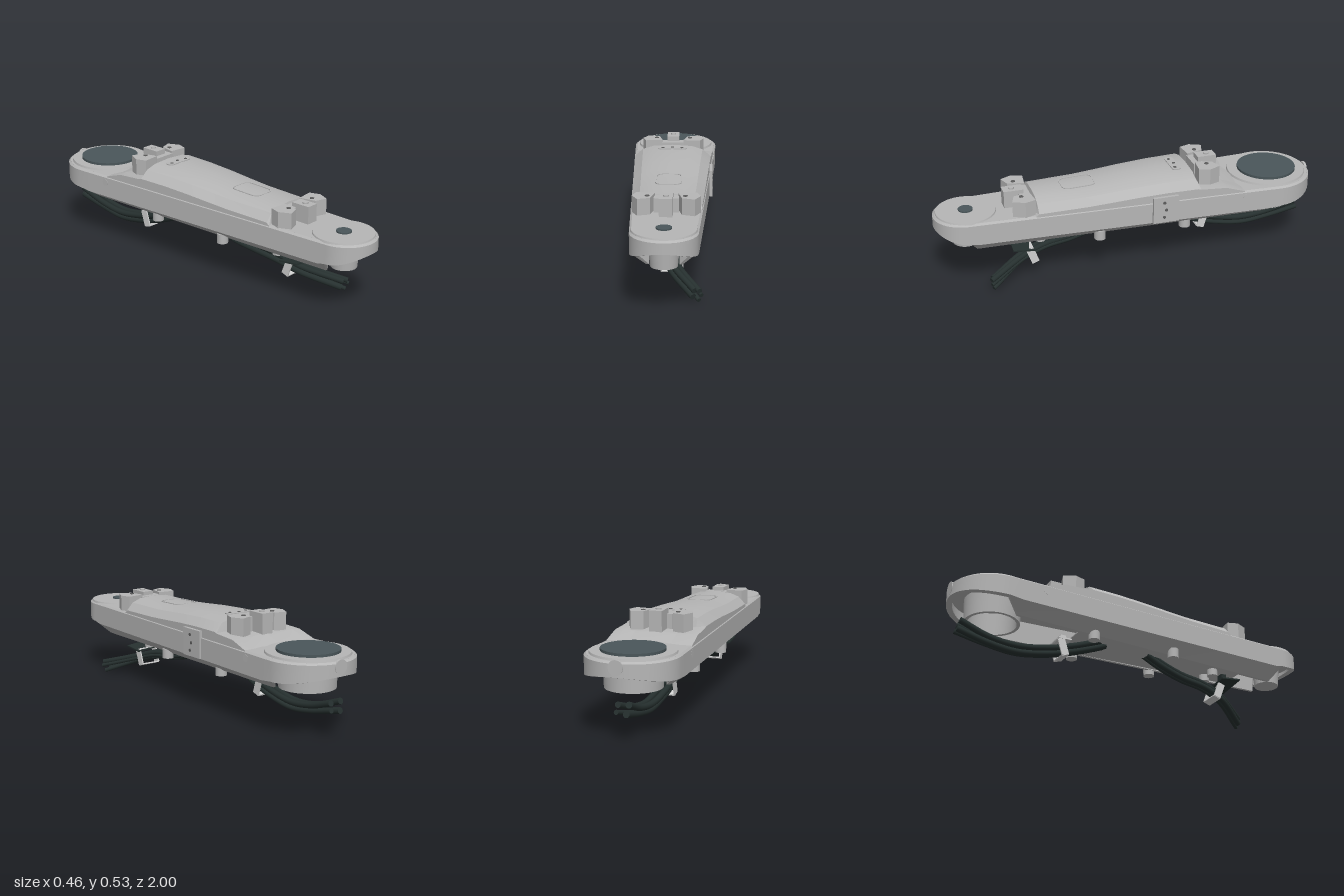
import * as THREE from 'three';
import { toCreasedNormals } from 'three/addons/utils/BufferGeometryUtils.js';

const FRONT = { z: 0.842, r: 0.158 }, BACK = { z: -0.772, r: 0.228 };
const lerp = THREE.MathUtils.lerp;
const halfWidth = (z) => lerp(FRONT.r, BACK.r, (FRONT.z - z) / (FRONT.z - BACK.z));

// Tapered capsule outline: position plus outward normal
function outline() {
  const pts = [], N = 32;
  const arc = (c, a0) => {
    for (let i = 0; i <= N; i++) {
      const a = a0 - (Math.PI * i) / N, nx = Math.cos(a), nz = Math.sin(a);
      pts.push({ x: nx * c.r, z: c.z + nz * c.r, nx, nz });
    }
  };
  const zs = [0.8, 0.5, 0.2, -0.1, -0.4, -0.7];
  arc(FRONT, Math.PI);
  zs.forEach((z) => pts.push({ x: halfWidth(z), z, nx: 1, nz: 0 }));
  arc(BACK, 0);
  zs.reverse().forEach((z) => pts.push({ x: -halfWidth(z), z, nx: -1, nz: 0 }));
  return pts;
}

// Stitch a list of equal-length loops of [x, y, z]
function loft(loops, closed, crease = 0.5) {
  const n = loops[0].length, idx = [];
  for (let k = 0; k < loops.length - 1; k++) {
    for (let i = 0; i < (closed ? n : n - 1); i++) {
      const a = k * n + i, b = k * n + ((i + 1) % n);
      idx.push(a, a + n, b, b, a + n, b + n);
    }
  }
  const g = new THREE.BufferGeometry();
  g.setAttribute('position', new THREE.Float32BufferAttribute(loops.flat(2), 3));
  g.setIndex(idx);
  return toCreasedNormals(g, crease);
}

// Flat plate lying in the ground plane, extruded upward; points are [x, z]
function slab(points, height) {
  const shape = new THREE.Shape(points.map(([x, z]) => new THREE.Vector2(x, -z)));
  return new THREE.ExtrudeGeometry(shape, { depth: height, bevelEnabled: false, curveSegments: 24 }).rotateX(-Math.PI / 2);
}

function roundedPlate(w, d, r, h, hole = 0) {
  const trace = (p, a, b, q) => {
    p.moveTo(-a + q, -b).lineTo(a - q, -b).quadraticCurveTo(a, -b, a, -b + q);
    p.lineTo(a, b - q).quadraticCurveTo(a, b, a - q, b).lineTo(-a + q, b);
    p.quadraticCurveTo(-a, b, -a, b - q).lineTo(-a, -b + q).quadraticCurveTo(-a, -b, -a + q, -b);
    return p;
  };
  const s = trace(new THREE.Shape(), w / 2, d / 2, r);
  if (hole) s.holes.push(trace(new THREE.Path(), w / 2 - hole, d / 2 - hole, r - hole));
  return new THREE.ExtrudeGeometry(s, { depth: h, bevelEnabled: false }).rotateX(-Math.PI / 2);
}

export function createModel() {
  const root = new THREE.Group();
  const material = (name, color, side = THREE.FrontSide) => {
    const m = new THREE.MeshStandardMaterial({ color, side });
    m.name = name;
    return m;
  };
  const grey = material('castGrey', 0xb6b6b6, THREE.DoubleSide);
  const slate = material('slateCap', 0x4a565a);
  const black = material('cableBlack', 0x26302f);
  const pale = material('clipGrey', 0xcfcfcf);
  const dark = material('boltHole', 0x5c5c5c);
  const add = (name, geo, mat, x = 0, y = 0, z = 0, parent = root) => {
    const m = new THREE.Mesh(geo, mat);
    m.name = name;
    m.position.set(x, y, z);
    parent.add(m);
    return m;
  };
  const cyl = (r, h, rb = r, n = 40) => new THREE.CylinderGeometry(r, rb, h, n);
  const box = (w, h, d) => new THREE.BoxGeometry(w, h, d);

  // Body shell: side wall, lower chamfer and inner wall, cut away under both ends
  const pts = outline();
  const levels = (z) => {
    if (z <= 0.81 && z >= -0.71) {
      const y = lerp(0.211, 0.225, (0.8 - z) / 1.5);
      return [[0.01, 0.387], [0, 0.378], [0, 0.272], [0.075, y], [0.09, y], [0.09, 0.34]];
    }
    const t = z > 0 ? (z - FRONT.z) / FRONT.r : (BACK.z - z) / BACK.r;
    const y = lerp(0.28, z > 0 ? 0.325 : 0.315, t * t);
    return [[0.01, 0.387], [0, 0.378], [0, y], [0.014, y - 0.004], [0.03, y], [0.03, 0.34]];
  };
  const loops = [0, 1, 2, 3, 4, 5].map((k) => pts.map((p) => {
    const [inset, y] = levels(p.z)[k];
    return [p.x - p.nx * inset, y, p.z - p.nz * inset];
  }));
  add('bodyShell', loft(loops, true), grey);
  const inset = (d) => pts.map((p) => [p.x - p.nx * d, p.z - p.nz * d]);
  add('bodyDeck', slab(inset(0.0101), 0.047), grey, 0, 0.34);
  add('bellyPlate', slab([[-0.09, 0.62], [0.09, 0.62], [0.13, -0.36], [-0.13, -0.36]], 0.006), grey, 0, 0.222);

  // Joint bosses under both ends
  add('frontBoss', cyl(0.075, 0.12, 0.064), grey, 0, 0.28, FRONT.z);
  const ring = [[0.142, 0.34], [0.138, 0.222], [0.122, 0.222], [0.122, 0.34]].map((p) => new THREE.Vector2(...p));
  add('backBoss', toCreasedNormals(new THREE.LatheGeometry(ring, 48), 0.5), grey, 0, 0, BACK.z);

  // Round joint covers and dark caps
  add('frontCover', cyl(0.149, 0.012, 0.153, 64), grey, 0, 0.388, 0.835);
  add('frontCap', cyl(0.037, 0.01), slate, 0, 0.396, 0.835);
  add('backCover', cyl(0.203, 0.012, 0.207, 64), grey, 0, 0.391, BACK.z);
  add('backCap', cyl(0.153, 0.014, 0.153, 64), slate, 0, 0.403, BACK.z - 0.003);
  add('backTipPlug', cyl(0.036, 0.012).rotateX(Math.PI / 2), grey, 0, 0.36, -0.994);
  for (const s of [-1, 1]) add('sidePort', cyl(0.018, 0.008, 0.018, 20).rotateZ(Math.PI / 2), grey, s * 0.217, 0.352, -0.58);

  // Raised cover: faceted cross-sections along the arm [z, shoulder y, top y]
  const section = ([z, ys, yt]) => {
    const w = halfWidth(z) - 0.004;
    const half = [[w, 0.37], [w, ys], [w * 0.78, lerp(ys, yt, 0.62)], [w * 0.5, yt - 0.006]];
    return [...half.map(([x, y]) => [x, y, z]), [0, yt, z], ...half.reverse().map(([x, y]) => [-x, y, z])];
  };
  const coverRows = [[0.515, 0.385, 0.40], [0.5, 0.398, 0.46], [0.25, 0.405, 0.463], [0.12, 0.413, 0.472], [0, 0.421, 0.482],
    [-0.15, 0.428, 0.49], [-0.32, 0.43, 0.492], [-0.335, 0.425, 0.43], [-0.47, 0.418, 0.424], [-0.57, 0.386, 0.389]];
  add('topCover', loft(coverRows.map(section), false, 0.3), grey);
  const hatch = add('hatchFrame', roundedPlate(0.13, 0.175, 0.04, 0.004, 0.006), grey, 0, 0.462, 0.262);
  hatch.rotation.x = 0.03;
  add('sensorPlate', roundedPlate(0.15, 0.045, 0.02, 0.005), grey, 0, 0.489, -0.25);
  for (const [x, z] of [[-0.05, -0.245], [0, -0.255], [0.05, -0.245]]) add('sensorHole', cyl(0.008, 0.003, 0.008, 12), dark, x, 0.495, z);

  // Clamp sets at both ends of the cover; dir points toward the arm tip
  const clamp = (name, z, dir, base, wingTop, lugTop) => {
    const g = new THREE.Group();
    g.name = name;
    g.position.z = z;
    root.add(g);
    for (const s of [-1, 1]) {
      const wing = [[0.055, 0.0], [0.145, -0.01], [0.163, 0.045], [0.135, 0.105], [0.075, 0.085]].map(([x, d]) => [s * x, dir * d]);
      if (s * dir > 0) wing.reverse();
      add('clampWing', slab(wing, wingTop - base), grey, 0, base, 0, g);
      add('wingBolt', cyl(0.011, 0.004, 0.011, 16), dark, s * 0.09, wingTop + 0.001, dir * 0.05, g);
    }
    add('clampBridge', box(0.12, wingTop - base - 0.012, 0.055), grey, 0, (wingTop + base) / 2 - 0.006, dir * 0.022, g);
    add('clampLug', box(0.064, lugTop - base, 0.1), grey, 0, (lugTop + base) / 2, dir * 0.075, g);
    add('lugBolt', cyl(0.014, 0.008, 0.014, 20), grey, 0, lugTop + 0.003, dir * 0.08, g);
    return g;
  };
  clamp('frontClamp', 0.52, 1, 0.385, 0.468, 0.476);
  clamp('backClamp', -0.352, -1, 0.4, 0.51, 0.524);

  // Bolted plate on the left flank
  add('sidePlate', box(0.016, 0.14, 0.135), grey, 0.207, 0.345, -0.145);
  for (const [y, z] of [[0.385, -0.135], [0.345, -0.145], [0.305, -0.135]]) {
    add('sidePlateBolt', cyl(0.008, 0.004, 0.008, 12).rotateZ(Math.PI / 2), dark, 0.216, y, z);
  }

  // Feet under the belly
  for (const s of [-1, 1]) {
    for (const z of [0.18, -0.275]) add('foot', cyl(0.029, 0.05, 0.029, 24), grey, s * 0.128, 0.218, z);
    add('smallFoot', cyl(0.027, 0.04, 0.027, 24), grey, s * 0.042, 0.207, 0.47);
  }

  // Cable bundles
  const bundle = (name, path, tips) => {
    const g = new THREE.Group();
    g.name = name;
    root.add(g);
    tips.forEach(([dx, dy, r, ex, ey, ez]) => {
      const way = path.map(([x, y, z]) => new THREE.Vector3(x + dx, y + dy, z));
      way.push(new THREE.Vector3(ex, ey, ez));
      const curve = new THREE.CatmullRomCurve3(way);
      add('cable', new THREE.TubeGeometry(curve, 40, r, 10), black, 0, 0, 0, g);
      const end = cyl(r, 0.006, r, 10).rotateX(Math.PI / 2);
      const cap = add('cableEnd', end, black, ex, ey, ez, g);
      cap.lookAt(new THREE.Vector3(ex, ey, ez).add(curve.getTangent(1)));
    });
  };
  bundle('frontCables', [[-0.03, 0.235, 0.07], [-0.02, 0.195, 0.17], [0, 0.165, 0.3], [0.01, 0.145, 0.44], [0.035, 0.11, 0.56]],
    [[-0.015, -0.012, 0.016, 0.13, 0.03, 0.735], [0.015, -0.014, 0.011, 0.157, 0.016, 0.74], [-0.005, 0.012, 0.015, 0.137, 0.062, 0.74],
      [0.022, 0.01, 0.014, 0.16, 0.063, 0.75], [0.03, -0.004, 0.01, 0.17, 0.044, 0.75]]);
  bundle('backCables', [[-0.03, 0.235, -0.17], [-0.035, 0.2, -0.25], [-0.035, 0.155, -0.37], [-0.03, 0.12, -0.5], [-0.025, 0.1, -0.65], [-0.02, 0.118, -0.8]],
    [[-0.02, 0.014, 0.016, -0.045, 0.182, -0.95], [0.016, 0.016, 0.015, 0.01, 0.178, -0.945], [-0.012, -0.014, 0.016, -0.035, 0.14, -0.96],
      [0.018, -0.012, 0.012, 0.015, 0.145, -0.955]]);

  // Cable brackets: dark plate with a pale strap round the bundle
  const bracket = (name, x, y, z, tilt, w) => {
    const g = new THREE.Group();
    g.name = name;
    g.position.set(x, y, z);
    g.rotation.x = tilt;
    root.add(g);
    for (const s of [-1, 1]) add('strapSide', box(0.007, 0.085, 0.04), pale, s * w, 0, 0, g);
    for (const s of [-1, 1]) add('strapBand', box(w * 2, 0.007, 0.04), pale, 0, s * 0.042, 0, g);
  };
  bracket('frontStrap', 0.025, 0.122, 0.52, 0.35, 0.052);
  bracket('backStrap', -0.033, 0.147, -0.42, -0.3, 0.045);
  const plate = add('frontBracketPlate', box(0.17, 0.008, 0.11), black, 0.005, 0.17, 0.565);
  plate.rotation.set(-0.1, 0, -0.1);
  add('frontBracketStem', box(0.04, 0.05, 0.03), black, -0.01, 0.195, 0.55);
  add('backBracketPlate', box(0.12, 0.008, 0.07), pale, -0.02, 0.195, -0.41);
  add('backBracketStem', box(0.03, 0.04, 0.03), pale, -0.02, 0.213, -0.4);
  return root;
}
